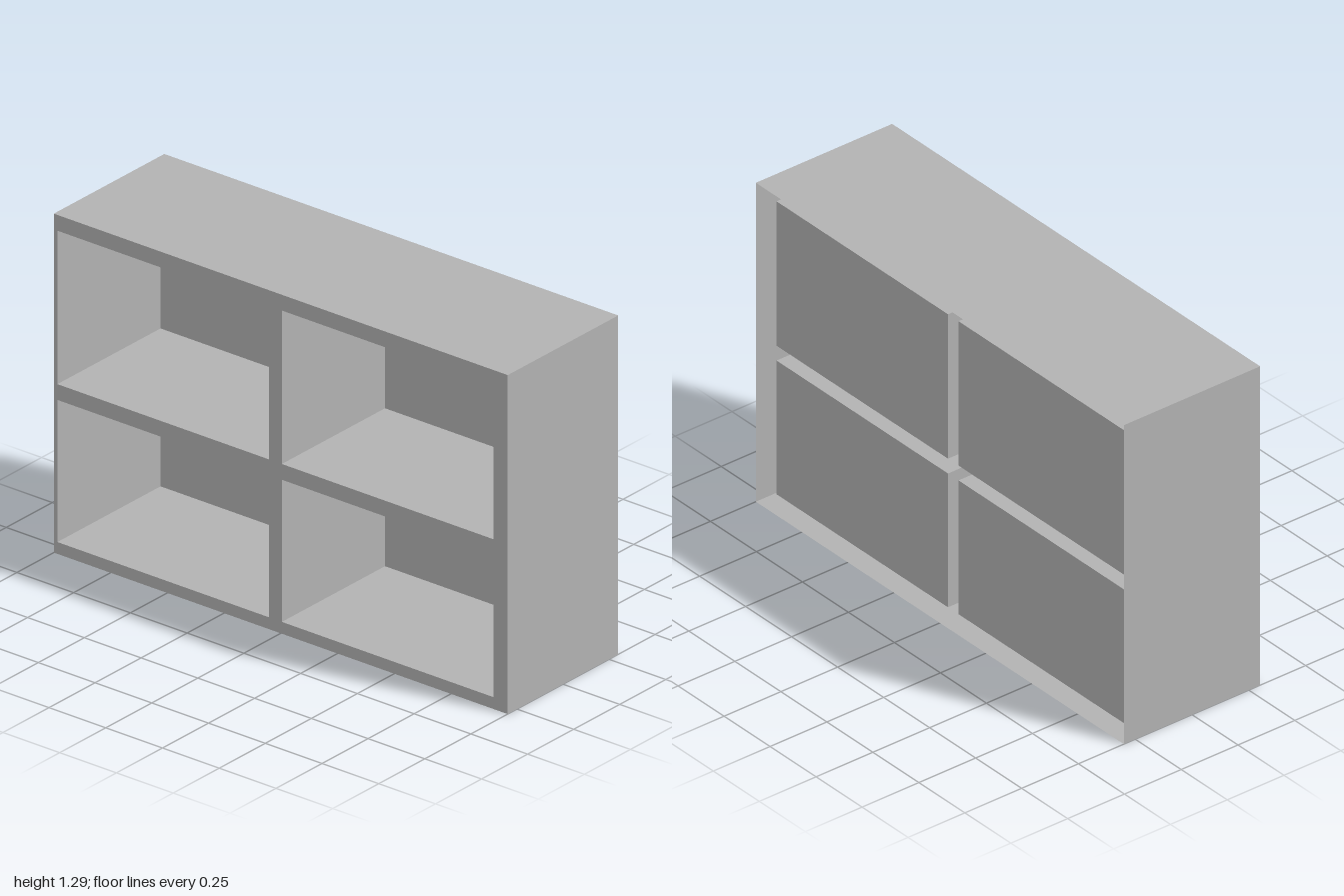
import * as THREE from 'three';

const W = 2, H = 1.29, D = 0.6;
const CELL_BACK = -0.26;
const COLUMNS = [[-0.984, -0.052], [0.005, 0.937]];
const ROWS = [[0.045, 0.586], [0.646, 1.23]];

// Rectangle outline, used for the panel, its openings and the thin walls
function rectPoints([x0, x1], [y0, y1]) {
  return [[x0, y0], [x1, y0], [x1, y1], [x0, y1]].map(([x, y]) => new THREE.Vector2(x, y));
}

export function createModel() {
  const group = new THREE.Group();
  const grey = new THREE.MeshStandardMaterial({ color: 0xb2b2b2, side: THREE.DoubleSide });
  grey.name = 'grey';

  function add(name, geometry, parent, x = 0, y = 0, z = 0) {
    const mesh = new THREE.Mesh(geometry, grey);
    mesh.name = name;
    mesh.position.set(x, y, z);
    parent.add(mesh);
  }

  // Thin four-sided sleeve running along z, open at both ends
  function addSleeve(name, [x0, x1], [y0, y1], z0, z1, parent) {
    const w = x1 - x0, h = y1 - y0, d = z1 - z0;
    const cx = (x0 + x1) / 2, cy = (y0 + y1) / 2, cz = (z0 + z1) / 2;
    const side = (s) => new THREE.PlaneGeometry(d, h).rotateY(s * Math.PI / 2);
    const flat = (s) => new THREE.PlaneGeometry(w, d).rotateX(-s * Math.PI / 2);
    add(name + 'Left', side(1), parent, x1, cy, cz);
    add(name + 'Right', side(-1), parent, x0, cy, cz);
    add(name + 'Top', flat(1), parent, cx, y1, cz);
    add(name + 'Bottom', flat(-1), parent, cx, y0, cz);
  }

  // Outer cabinet, open at the back
  const shell = new THREE.Group();
  shell.name = 'outerShell';
  group.add(shell);
  addSleeve('shell', [-W / 2, W / 2], [0, H], -D / 2, D / 2, shell);

  // Front frame with four openings
  const frame = new THREE.Shape(rectPoints([-W / 2, W / 2], [0, H]));
  for (const col of COLUMNS) {
    for (const row of ROWS) frame.holes.push(new THREE.Path(rectPoints(col, row)));
  }
  add('frontFrame', new THREE.ShapeGeometry(frame), group, 0, 0, D / 2);

  // Thin-walled compartments set into the frame
  for (const col of COLUMNS) {
    for (const row of ROWS) {
      const cell = new THREE.Group();
      cell.name = 'compartment';
      group.add(cell);
      addSleeve('compartment', col, row, CELL_BACK, D / 2, cell);
      add('compartmentBack', new THREE.ShapeGeometry(new THREE.Shape(rectPoints(col, row))), cell, 0, 0, CELL_BACK);
    }
  }
  return group;
}
